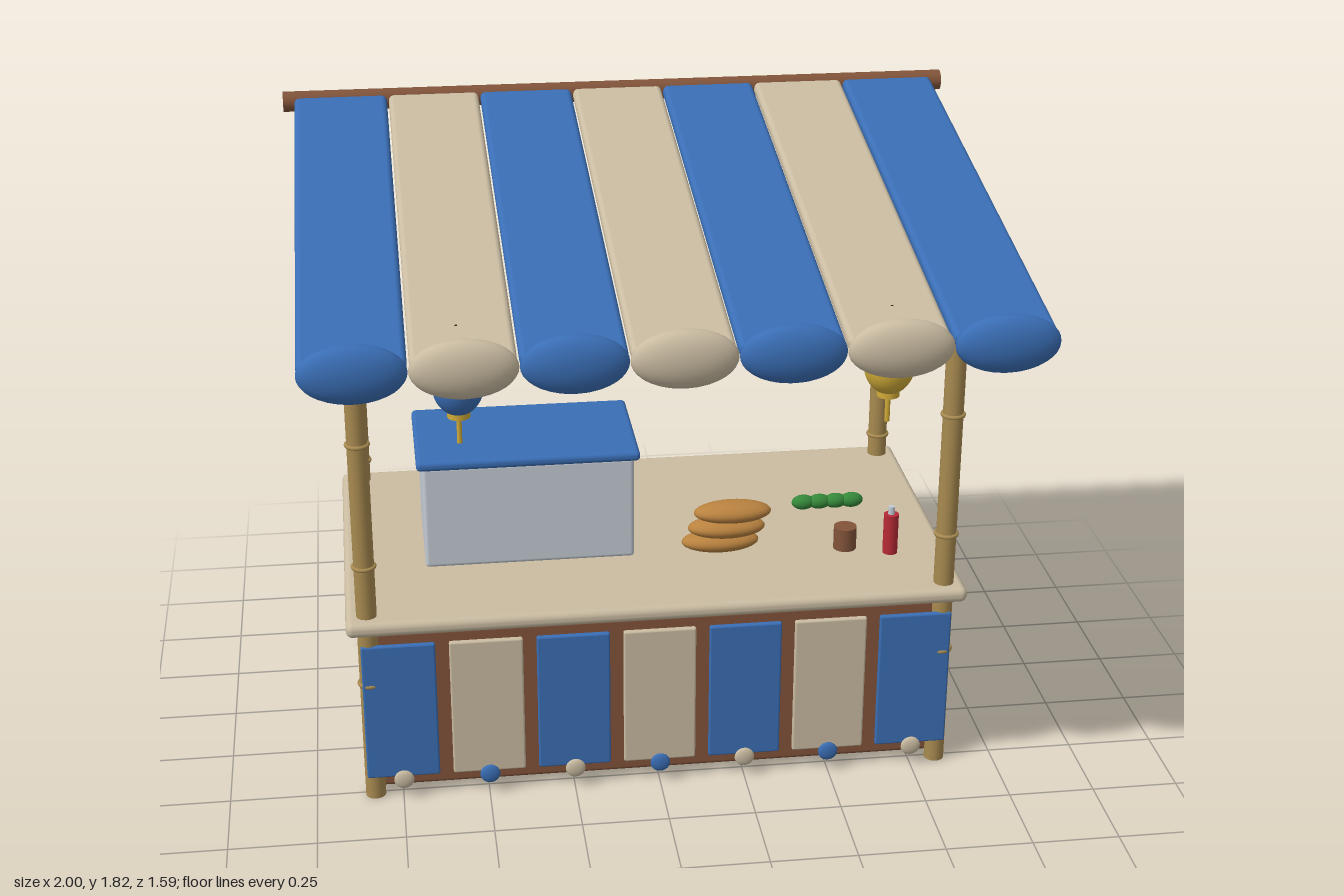
import * as THREE from 'three';
import { RoundedBoxGeometry } from 'three/addons/geometries/RoundedBoxGeometry.js';

const mat = (name, color) => {
  const m = new THREE.MeshStandardMaterial({ color });
  m.name = name;
  return m;
};

export function createModel() {
  const blue = mat('blue cloth', 0x3a6eb5);
  const cream = mat('cream cloth', 0xcabca2);
  const wood = mat('brown wood', 0x82543a);
  const bamboo = mat('bamboo', 0xa88a50);
  const steel = mat('pale steel', 0xc4ccd4);
  const yellow = mat('lantern yellow', 0xd2ac38);
  const green = mat('cucumber green', 0x35883a);
  const red = mat('sauce red', 0xb82a36);
  const crust = mat('bread crust', 0xb9823f);
  const dark = mat('dark cord', 0x3a2b22);

  const root = new THREE.Group();
  root.name = 'marketStall';

  // Helpers: place a geometry in a parent
  const add = (name, geo, material, x, y, z, parent = root) => {
    const m = new THREE.Mesh(geo, material);
    m.name = name;
    m.position.set(x, y, z);
    parent.add(m);
    return m;
  };
  const rbox = (w, h, d, r) => new RoundedBoxGeometry(w, h, d, 3, r);
  const cyl = (r, h, n = 20) => new THREE.CylinderGeometry(r, r, h, n);
  const ball = (rx, ry, rz) => new THREE.SphereGeometry(1, 28, 18).scale(rx, ry, rz);
  const group = (name) => {
    const g = new THREE.Group();
    g.name = name;
    root.add(g);
    return g;
  };

  // Counter
  add('counterBody', rbox(1.65, 0.505, 0.9, 0.012), wood, 0, 0.272, -0.195);
  add('counterTop', rbox(1.78, 0.045, 1.035, 0.02), cream, 0, 0.565, -0.198);

  // Bamboo posts with joint rings
  for (const side of [-1, 1]) {
    for (const [z, h, joints, label] of [[0.26, 1.487, 3, 'front'], [-0.652, 1.64, 4, 'back']]) {
      const g = group(label + 'Post');
      add('postShaft', cyl(0.029, h), bamboo, side * 0.83, h / 2, z, g);
      for (let i = 1; i <= joints; i++) {
        const ring = new THREE.TorusGeometry(0.03, 0.006, 8, 24).rotateX(Math.PI / 2);
        add('postJoint', ring, bamboo, side * 0.83, (h * i) / (joints + 1), z, g);
      }
    }
  }

  // Cloth panels and beads on the counter front, canopy strips and scallops
  const canopy = group('canopy');
  const backY = 1.79, backZ = -0.75, frontY = 1.528, frontZ = 0.74;
  const slope = Math.atan2(backY - frontY, frontZ - backZ);
  const length = Math.hypot(backY - frontY, frontZ - backZ);
  for (let i = -3; i <= 3; i++) {
    const even = (i + 3) % 2 === 0;
    const main = even ? blue : cream;
    const other = even ? cream : blue;
    add('frontPanel', rbox(0.21, 0.43, 0.018, 0.006), main, i * 0.249, 0.285, 0.283);
    add('panelBead', ball(0.029, 0.029, 0.011), other, i * 0.249, 0.067, 0.301);

    const strip = add('canopyStrip', rbox(even ? 0.274 : 0.268, 0.038, length, 0.016), main,
      i * 0.2765, (backY + frontY) / 2, (backZ + frontZ) / 2, canopy);
    strip.rotation.x = slope;
    add('canopyScallop', ball(0.138, 0.079, 0.044), main, i * 0.2765, 1.523, 0.754, canopy);
  }
  add('ridgePole', cyl(0.03, 2).rotateZ(Math.PI / 2), wood, 0, 1.79, -0.762, canopy);

  // Hanging lanterns
  for (const [x, shade] of [[-0.563, blue], [0.563, yellow]]) {
    const g = group('lantern');
    add('lanternCord', cyl(0.004, 0.08, 8), dark, x, 1.535, 0.585, g);
    add('lanternShade', ball(0.067, 0.08, 0.067), shade, x, 1.41, 0.585, g);
    add('lanternTopCap', cyl(0.03, 0.022), yellow, x, 1.488, 0.585, g);
    add('lanternBottomCap', cyl(0.03, 0.022), yellow, x, 1.334, 0.585, g);
    add('lanternTassel', cyl(0.007, 0.085, 10), yellow, x, 1.292, 0.585, g);
  }

  // Food chest with lid
  add('foodChest', rbox(0.615, 0.32, 0.37, 0.012), steel, -0.344, 0.745, -0.199);
  add('chestLid', rbox(0.648, 0.03, 0.4, 0.013), blue, -0.344, 0.914, -0.199);

  // Stacked loaves
  for (let i = 0; i < 3; i++) {
    add('loaf', ball(0.115, 0.032, 0.052), crust, 0.218 + i * 0.018, 0.624 + i * 0.046, -0.014 + (i % 2) * 0.004);
  }

  // Cucumber made of overlapping lobes
  for (let i = 0; i < 4; i++) {
    add('cucumberLobe', ball(0.036, 0.023, 0.023), green, 0.515 + i * 0.05, 0.613, -0.262);
  }

  // Cup and sauce bottle
  add('cup', cyl(0.034, 0.07), wood, 0.59, 0.623, 0.008);
  add('sauceBottle', cyl(0.022, 0.125), red, 0.717, 0.65, 0.054);
  add('bottleNozzle', cyl(0.01, 0.026, 12), steel, 0.717, 0.724, 0.054);

  return root;
}
